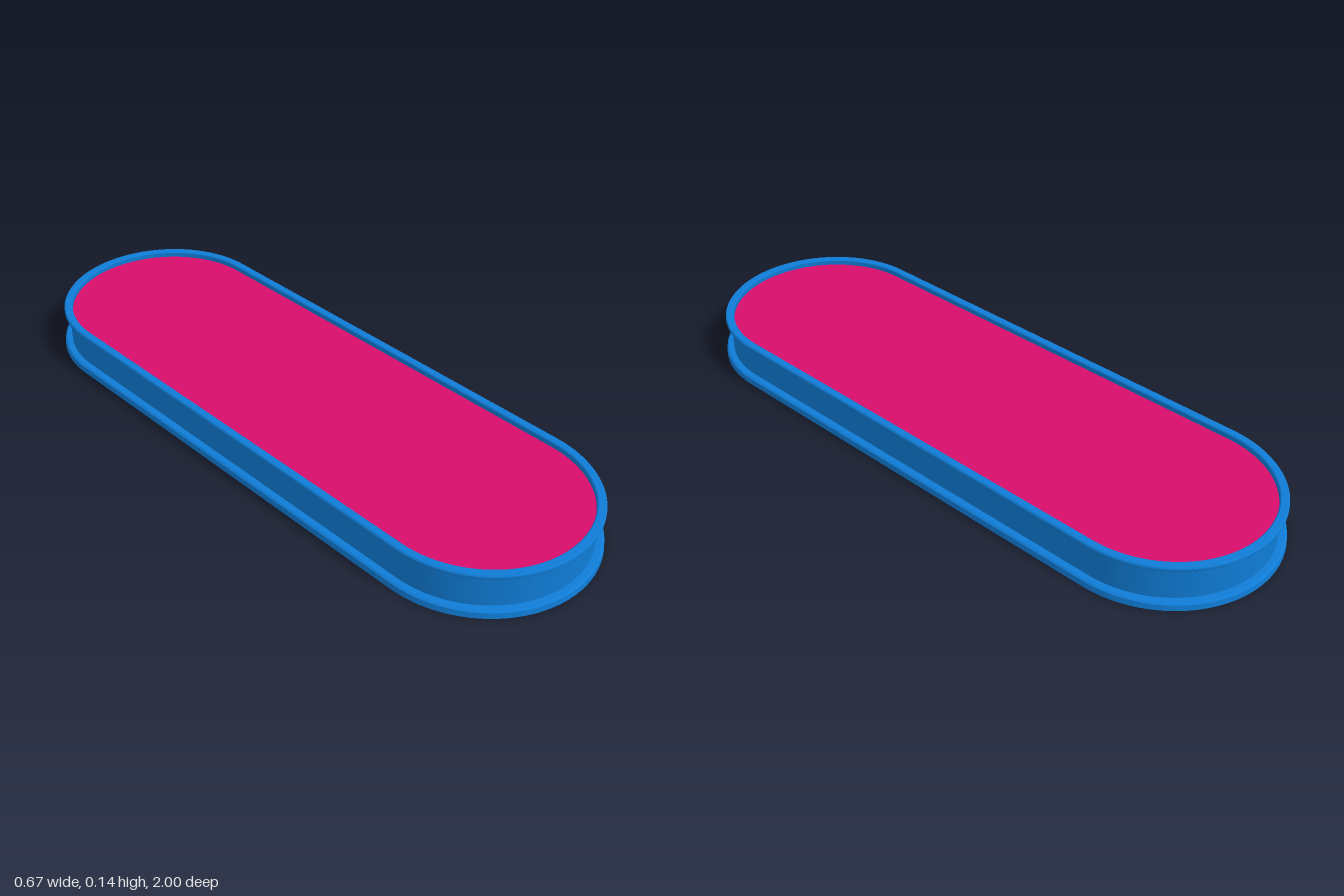
import * as THREE from 'three';
import { toCreasedNormals } from 'three/addons/utils/BufferGeometryUtils.js';

const STRAIGHT = 0.665; // half length of the straight sides
const ARC = 48;         // segments per rounded end

// Sweep a closed (radius, height) profile round a stadium-shaped path
function stadiumSweep(profile) {
  const points = profile.map(([r, y]) => new THREE.Vector2(r, y));
  const count = 2 * (ARC + 1);
  const geo = new THREE.LatheGeometry(points, count);
  const pos = geo.attributes.position;
  for (let i = 0; i <= count; i++) {
    const k = i % count;
    const back = k > ARC;
    const angle = back
      ? Math.PI / 2 + ((k - ARC - 1) / ARC) * Math.PI
      : -Math.PI / 2 + (k / ARC) * Math.PI;
    points.forEach((p, j) => pos.setXYZ(
      i * points.length + j,
      p.x * Math.sin(angle),
      p.y,
      p.x * Math.cos(angle) + (back ? -STRAIGHT : STRAIGHT)
    ));
  }
  return toCreasedNormals(geo, Math.PI / 6);
}

function stadiumShape(r) {
  const shape = new THREE.Shape();
  shape.absarc(0, STRAIGHT, r, 0, Math.PI, false);
  shape.absarc(0, -STRAIGHT, r, Math.PI, 2 * Math.PI, false);
  shape.closePath();
  return shape;
}

export function createModel() {
  const group = new THREE.Group();
  group.name = 'ovalTray';

  // Frame: flared foot, upright wall and overhanging rim, open underneath
  const frame = new THREE.Mesh(
    stadiumSweep([
      [0.305, 0], [0.335, 0], [0.333, 0.017], [0.328, 0.021], [0.311, 0.022],
      [0.311, 0.119], [0.324, 0.121], [0.326, 0.124], [0.326, 0.131], [0.323, 0.135],
      [0.303, 0.135], [0.3, 0.132], [0.3, 0.112], [0.305, 0.108], [0.305, 0],
    ]),
    new THREE.MeshStandardMaterial({ color: 0x0f7cd6 })
  );
  frame.name = 'frame';
  group.add(frame);

  // Thin panel set just below the rim
  const panel = new THREE.Mesh(
    new THREE.ShapeGeometry(stadiumShape(0.302), ARC),
    new THREE.MeshStandardMaterial({ color: 0xd80d6c, side: THREE.DoubleSide })
  );
  panel.name = 'panel';
  panel.rotation.x = -Math.PI / 2;
  panel.position.y = 0.118;
  group.add(panel);

  return group;
}
